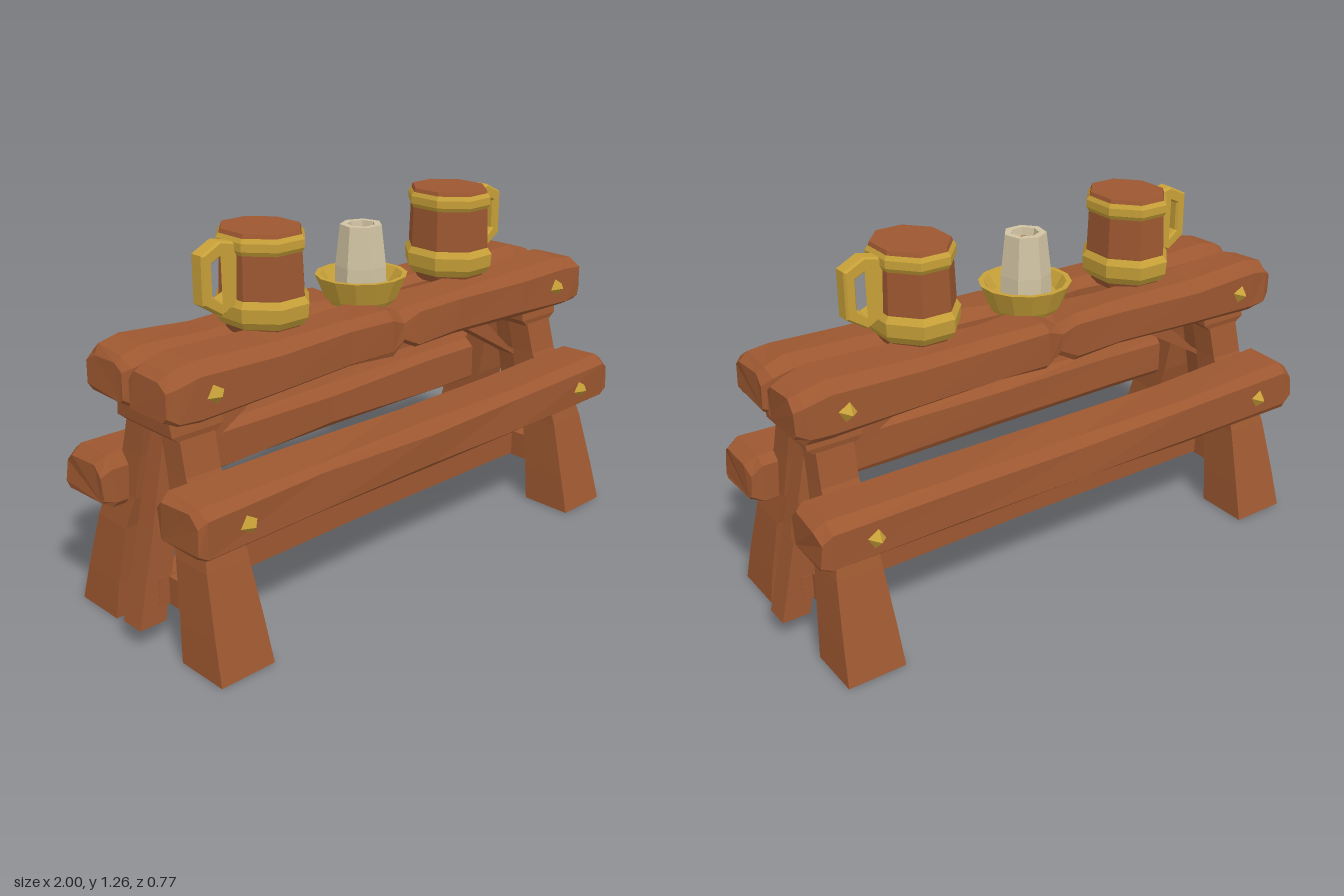
import * as THREE from 'three';

const paint = (name, color) => { const m = new THREE.MeshStandardMaterial({ color }); m.name = name; return m; };

// Small seeded generator for the hand-hewn unevenness
let seed = 7;
const wobble = (a) => { seed = (seed * 16807) % 2147483647; return (seed / 2147483647 - 0.5) * 2 * a; };

// Joins rings of [x, y, z] points into a faceted solid, optionally capped at both ends
function loft(rings, capped = true) {
  const n = rings[0].length, tris = [];
  for (let i = 0; i < rings.length - 1; i++) {
    for (let j = 0; j < n; j++) {
      const k = (j + 1) % n, a = rings[i][j], b = rings[i][k], c = rings[i + 1][k], d = rings[i + 1][j];
      tris.push([a, b, c], [a, c, d]);
    }
  }
  if (capped) {
    const first = rings[0], last = rings[rings.length - 1];
    for (let j = 1; j < n - 1; j++) {
      tris.push([first[0], first[j + 1], first[j]], [last[0], last[j], last[j + 1]]);
    }
  }
  // Signed volume tells whether the faces point outward
  const v = (p) => new THREE.Vector3(...p);
  let volume = 0;
  for (const [a, b, c] of tris) volume += v(a).dot(v(b).cross(v(c)));
  if (volume < 0) tris.forEach((t) => t.reverse());
  const g = new THREE.BufferGeometry();
  g.setAttribute('position', new THREE.Float32BufferAttribute(tris.flat(2), 3));
  g.computeVertexNormals();
  return g;
}

// Rough beam along x; section = [x, y0, y1, z0, z1, bevel]
function plank(sections, sx, sz, rough) {
  return loft(sections.map(([x, y0, y1, z0, z1, c]) => [
    [y0, z0 + c * 0.5], [y0, z1 - c * 0.5], [y0 + c * 0.5, z1], [y1 - c, z1],
    [y1, z1 - c * 1.3], [y1, z0 + c * 1.3], [y1 - c, z0], [y0 + c * 0.5, z0],
  ].map(([y, z]) => [sx * (x + wobble(rough)), y + wobble(rough), sz * (z + wobble(rough * 0.7))])));
}

// Square beam along x; section = [x, y0, y1, halfDepth]
const beam = (sections) => loft(sections.map(([x, y0, y1, h]) => [[x, y0, -h], [x, y1, -h], [x, y1, h], [x, y0, h]]));

// Square post along y; section = [y, x0, x1, z0, z1]
const post = (sections, sx, sz) => loft(sections.map(([y, x0, x1, z0, z1]) =>
  [[x0, z0], [x1, z0], [x1, z1], [x0, z1]].map(([x, z]) => [sx * x, y, sz * z])));

// Upright faceted vessel; profile = [radius, y]
const turned = (profile, sides, sx = 1, turn = Math.PI / sides, capped = true) =>
  loft(profile.map(([r, y]) => Array.from({ length: sides }, (_, i) => {
    const a = (i / sides) * Math.PI * 2 + turn;
    return [sx * r * Math.cos(a), y, r * Math.sin(a)];
  })), capped);

export function createModel() {
  seed = 7;
  const root = new THREE.Group();
  const wood = paint('wood', 0x9c5730);
  const brass = paint('brass', 0xc7a038);
  const wax = paint('wax', 0xd0c2a2);
  const add = (name, geometry, material, parent = root) => {
    const mesh = new THREE.Mesh(geometry, material);
    mesh.name = name;
    parent.add(mesh);
    return mesh;
  };

  // Table top and benches, one of each per side
  const topSections = [
    [-0.965, 0.81, 0.93, 0.02, 0.205, 0.03], [-0.93, 0.79, 0.95, 0.005, 0.22, 0.035],
    [-0.85, 0.785, 0.965, 0.005, 0.222, 0.035], [-0.55, 0.795, 0.955, 0.008, 0.22, 0.03],
    [-0.25, 0.805, 0.955, 0.03, 0.218, 0.03], [-0.06, 0.8, 0.95, 0.008, 0.218, 0.025],
    [0, 0.825, 0.93, 0.012, 0.208, 0.03], [0.06, 0.8, 0.95, 0.008, 0.218, 0.025],
    [0.25, 0.805, 0.955, 0.03, 0.22, 0.03], [0.6, 0.795, 0.955, 0.008, 0.22, 0.035],
    [0.86, 0.785, 0.965, 0.005, 0.222, 0.035], [0.93, 0.79, 0.95, 0.005, 0.22, 0.035],
    [0.96, 0.81, 0.93, 0.02, 0.205, 0.03],
  ];
  const benchSections = [
    [-0.98, 0.44, 0.565, 0.145, 0.345, 0.03], [-0.95, 0.42, 0.585, 0.132, 0.355, 0.03],
    [-0.5, 0.425, 0.583, 0.14, 0.355, 0.025], [0, 0.425, 0.578, 0.14, 0.352, 0.03],
    [0.45, 0.422, 0.58, 0.14, 0.355, 0.025], [0.94, 0.42, 0.588, 0.132, 0.355, 0.03],
    [0.978, 0.44, 0.565, 0.145, 0.345, 0.03],
  ];
  for (const sz of [1, -1]) {
    add('tableTopPlank', plank(topSections, sz, sz, 0.006), wood);
    add('benchPlank', plank(benchSections, sz, sz, 0.006), wood);
  }

  // Trestles at both ends
  for (const sx of [1, -1]) {
    for (const sz of [1, -1]) {
      add('leg', post([
        [0.005, 0.735, 0.94, 0.18, 0.375], [0.14, 0.74, 0.93, 0.165, 0.34],
        [0.34, 0.75, 0.91, 0.132, 0.285], [0.45, 0.75, 0.89, 0.1, 0.25],
        [0.6, 0.75, 0.88, 0.07, 0.165], [0.72, 0.745, 0.875, 0.04, 0.135],
        [0.79, 0.72, 0.9, 0.01, 0.125],
      ], sx, sz), wood);

      // Pointed pegs on the table edge and bench edge
      for (const [y, z] of [[0.865, 0.222], [0.495, 0.355]]) {
        const peg = add('peg', new THREE.OctahedronGeometry(0.032), brass);
        peg.position.set(sx * 0.8, y, sz * z);
        peg.rotation.z = 0.25;
      }
    }
    add('trestleHead', post([
      [0.7, 0.75, 0.87, -0.135, 0.135], [0.73, 0.715, 0.905, -0.14, 0.14], [0.81, 0.71, 0.91, -0.125, 0.125],
    ], sx, 1), wood);
    add('crossBar', post([[0.13, 0.8, 0.88, -0.2, 0.2], [0.23, 0.8, 0.88, -0.17, 0.17]], sx, 1), wood);
    add('slantedStrut', post([
      [0.08, 0.9, 0.998, -0.045, 0.045], [0.4, 0.83, 0.925, -0.04, 0.04], [0.72, 0.76, 0.855, -0.033, 0.033],
    ], sx, 1), wood);
  }

  // Long beams between the trestles
  add('stretcher', beam([[-0.92, 0.135, 0.235, 0.045], [0, 0.14, 0.228, 0.04], [0.92, 0.135, 0.225, 0.045]]), wood);
  add('underBeam', beam([
    [-0.82, 0.54, 0.56, 0.04], [-0.755, 0.58, 0.6, 0.04], [-0.55, 0.7, 0.79, 0.04], [-0.5, 0.73, 0.8, 0.04],
    [0.5, 0.73, 0.8, 0.04], [0.55, 0.7, 0.79, 0.04], [0.755, 0.58, 0.6, 0.04], [0.82, 0.54, 0.56, 0.04],
  ]), wood);

  // Two banded mugs, handles outward
  const outline = [[-0.11, 1.235], [-0.18, 1.25], [-0.25, 1.215], [-0.25, 1.06], [-0.18, 1.015], [-0.11, 1.05]];
  const opening = [[-0.12, 1.195], [-0.18, 1.2], [-0.212, 1.185], [-0.212, 1.085], [-0.18, 1.06], [-0.12, 1.085]];
  const toPoints = (list) => list.map(([x, y]) => new THREE.Vector2(x, y));
  for (const sx of [-1, 1]) {
    const mug = new THREE.Group();
    mug.name = 'mug';
    mug.position.x = sx * 0.435;
    mug.rotation.y = sx > 0 ? Math.PI : 0;
    root.add(mug);
    add('mugBody', turned([[0.125, 0.935], [0.148, 0.98], [0.156, 1.06], [0.15, 1.2], [0.15, 1.25], [0.143, 1.265]], 8, 0.87), wood, mug);
    add('lowerBand', turned([[0.15, 0.965], [0.168, 0.99], [0.172, 1.035], [0.155, 1.058]], 8, 0.87), brass, mug);
    add('upperBand', turned([[0.151, 1.198], [0.16, 1.212], [0.16, 1.238], [0.15, 1.252]], 8, 0.87), brass, mug);
    const shape = new THREE.Shape(toPoints(outline));
    shape.holes.push(new THREE.Path(toPoints(opening)));
    const handle = new THREE.ExtrudeGeometry(shape, {
      depth: 0.044, bevelEnabled: true, bevelThickness: 0.008, bevelSize: 0.006, bevelOffset: -0.006, bevelSegments: 1,
    });
    add('handle', handle.translate(0, 0, -0.022), brass, mug);
  }

  // Candle in its dish
  add('candleDish', turned([[0.115, 0.935], [0.125, 0.95], [0.158, 1.03], [0.14, 1.03], [0.11, 0.985]], 14), brass);
  add('candle', turned([[0.075, 0.88], [0.09, 0.98], [0.088, 1.06], [0.072, 1.2], [0.048, 1.2], [0.044, 1.165]], 7, 1, 0.2), wax);
  add('candleHollow', turned([[0.043, 1.16], [0.046, 1.172]], 7, 1, 0.2), wood);
  return root;
}
